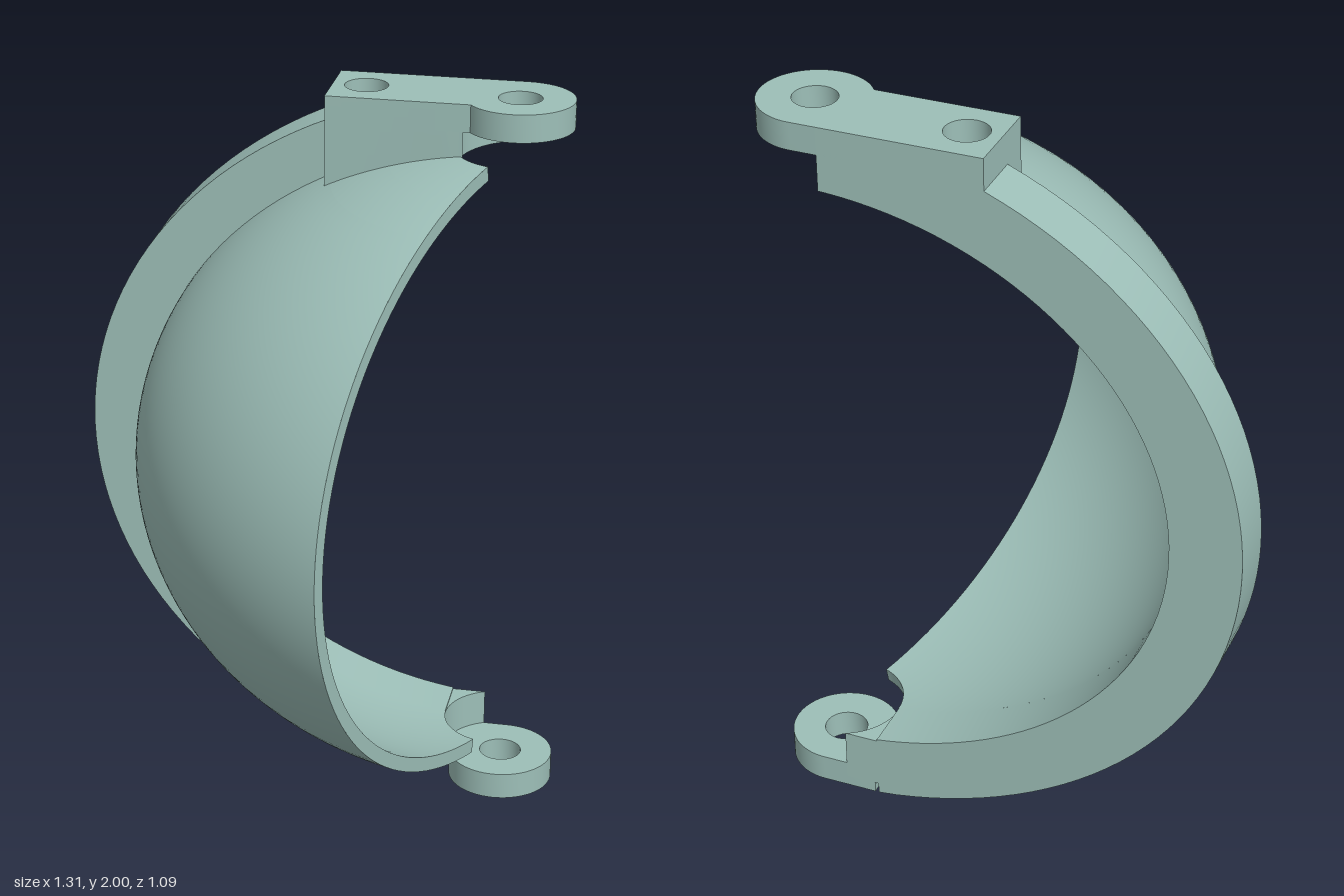
import * as THREE from 'three';
import { toCreasedNormals } from 'three/addons/utils/BufferGeometryUtils.js';

const RAD = Math.PI / 180;
const HX = 0.51, HZ = -0.405;            // hinge axis
const CX = 0.505;                        // centre of the ellipses
const BACK = 0.55;                       // back plane, as -z
const OUTER = [1.01, 0.87], INNER = [0.97, 0.83], RIM = [1.16, 1.01];

const V = (x, y) => new THREE.Vector2(x, y);

// Points along an ellipse arc, angles in degrees
function arc(cx, cy, a, b, from, to, n) {
  return Array.from({ length: n + 1 }, (_, i) => {
    const t = (from + (to - from) * i / n) * RAD;
    return V(cx + a * Math.cos(t), cy + b * Math.sin(t));
  });
}

// Angle (degrees) at which an ellipse of half-width a reaches distance d from its centre
const angleAt = (d, a) => Math.acos(d / a) / RAD;

function line(x0, x1, y, n) {
  return Array.from({ length: n + 1 }, (_, i) => V(x0 + (x1 - x0) * i / n, y));
}

// Footprint in (x, -z), raised from y0 to y1, with an optional round hole
function slab(points, y0, y1, hole) {
  const shape = new THREE.Shape(points);
  if (hole) shape.holes.push(new THREE.Path(arc(hole[0], hole[1], 0.058, 0.058, 360, 10, 35)));
  return new THREE.ExtrudeGeometry(shape, { depth: y1 - y0, bevelEnabled: false, steps: 1 })
    .rotateX(-Math.PI / 2).translate(0, y0, 0);
}

export function createModel() {
  const model = new THREE.Group();
  const sage = new THREE.MeshStandardMaterial({ color: 0x9dbfb8, side: THREE.DoubleSide });
  sage.name = 'sage';

  function add(name, geometry, parent = model) {
    const mesh = new THREE.Mesh(toCreasedNormals(geometry, 30 * RAD), sage);
    mesh.name = name;
    parent.add(mesh);
    return mesh;
  }

  // Curved shell: a 70 degree wedge of a hollow ellipsoid around the hinge axis
  const shell = new THREE.Group();
  shell.name = 'shell';
  shell.position.set(CX, 1, HZ);
  model.add(shell);
  const section = (t0, t1, n) => [
    ...arc(0, 0, ...OUTER, t0, t1, n),
    ...arc(0, 0, ...INNER, t1, t0, n),
  ];
  function shellBand(name, t0, t1, n, skip) {
    const pts = section(t0, t1, n);
    add(name, new THREE.LatheGeometry([...pts, pts[0].clone()], 40,
      (270 + skip) * RAD, (70 - skip) * RAD), shell);
  }
  const tEnd = angleAt(0.16, OUTER[0]);
  const tHoleIn = angleAt(0.335, OUTER[0]), tHoleOut = angleAt(0.485, OUTER[0]);
  shellBand('shellMain', -tEnd, tHoleOut, 56, 0);
  shellBand('shellBesideHole', tHoleOut, tHoleIn, 6, 5);   // leaves room for the screw hole
  shellBand('shellTop', tHoleIn, tEnd, 6, 0);
  const cutFace = new THREE.ShapeGeometry(new THREE.Shape(section(-tEnd, tEnd, 64)));
  add('shellCutFace', cutFace.rotateY(-110 * RAD), shell);

  // Flat crescent flange along the back
  const rimTop = 180 - angleAt(CX - 0.01, RIM[0]), rimEnd = 180 + angleAt(CX - 0.35, RIM[0]);
  const inTop = 180 - angleAt(CX - 0.01, INNER[0]), inEnd = 180 + angleAt(CX - 0.35, INNER[0]);
  const crescent = new THREE.Shape([
    ...arc(CX, 1, ...RIM, rimTop, rimEnd, 56),
    ...arc(CX, 1, ...INNER, inEnd, inTop, 56),
  ].map((p) => V(p.x, Math.max(0, p.y))));
  add('backFlange', new THREE.ExtrudeGeometry(crescent, { depth: BACK + HZ, bevelEnabled: false })
    .translate(0, 0, -BACK));

  // Flange end, hollowed for the hinge clearance
  add('flangeEnd', slab([V(0.35, -HZ), ...arc(HX, -HZ, 0.16, 0.16, 180, 115, 12), V(0.35, BACK)],
    0.03, 0.176));

  // Top block with screw hole; its underside follows the inside of the shell
  const block = slab([
    ...line(0.01, 0.36, 0.32, 8),
    ...arc(HX, -HZ, 0.16, 0.16, 212, 115, 16),
    ...line(0.43, 0.01, BACK, 10),
  ], 1.7, 2, [0.1, 0.435]);
  const pos = block.attributes.position;
  for (let i = 0; i < pos.count; i++) {
    if (pos.getY(i) > 1.8) continue;
    const r = Math.hypot(pos.getX(i) - CX, Math.max(0, pos.getZ(i) - HZ));
    pos.setY(i, 1 + INNER[1] * Math.sqrt(1 - (r / INNER[0]) ** 2));
  }
  add('topBlock', block);

  // Hinge ears, square at the back and round at the front
  const hinge = [HX, -HZ];
  add('topHingeEar', slab([
    V(0.3, 0.32), ...arc(HX, -HZ, 0.145, 0.145, 216, 450, 48), V(0.3, BACK),
  ], 1.925, 2, hinge));
  add('bottomHingeEar', slab([
    ...arc(HX, -HZ, 0.145, 0.145, 180, 450, 54), V(0.36, BACK),
  ], 0, 0.075, hinge));

  return model;
}
